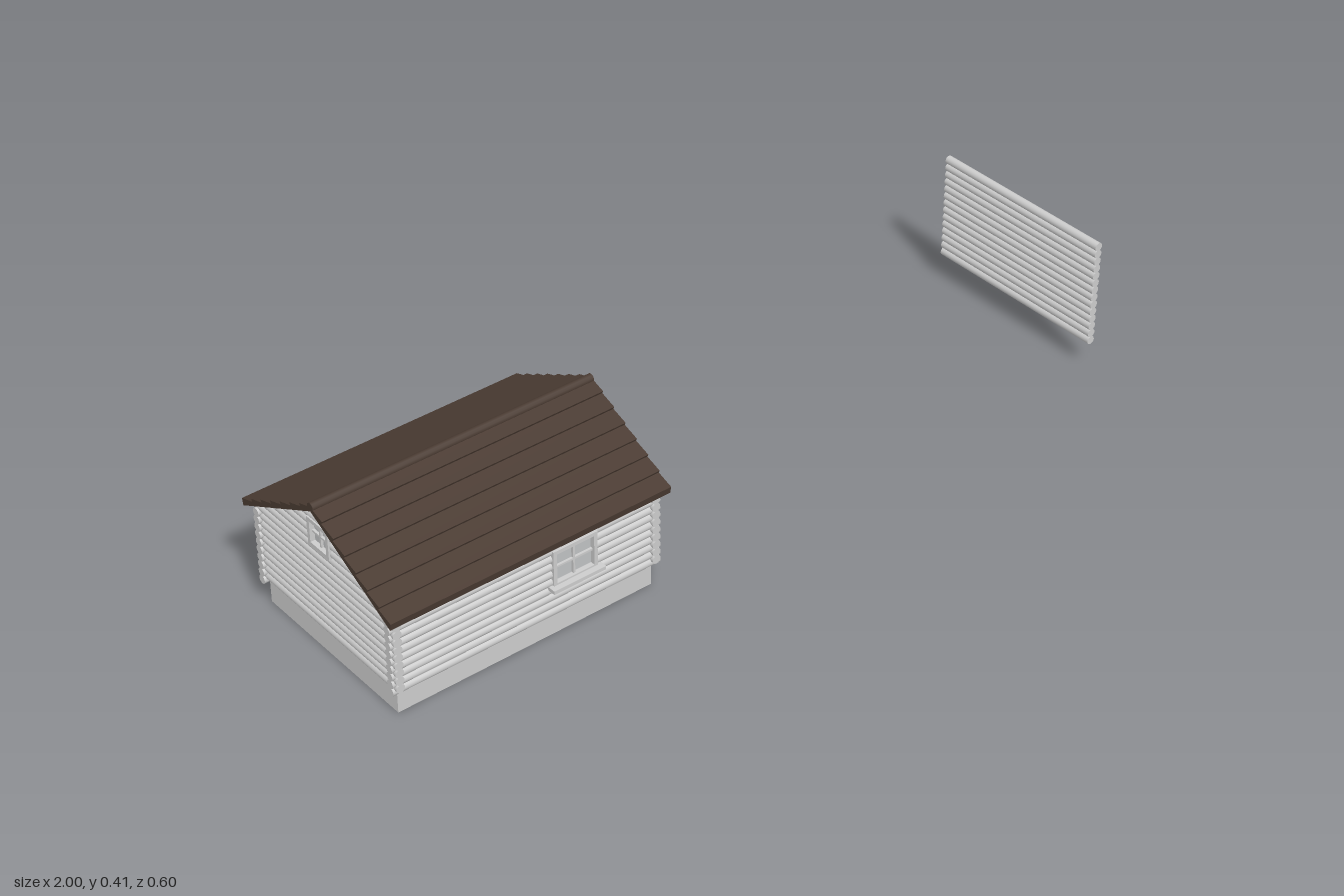
import * as THREE from 'three';

const mat = (name, color) => Object.assign(new THREE.MeshStandardMaterial({ color }), { name });

const PITCH = 0.0198, R = 0.0105;          // log spacing and radius
const CX = -0.643, CZ = 0.03;              // centre of the cabin
const HALF_X = 0.3315, HALF_Z = 0.235;     // wall centre lines
const SLOPE = 0.53, APEX = 0.39;           // underside of the roof

export function createModel() {
  const model = new THREE.Group();
  model.name = 'logCabin';
  const timber = mat('timberGrey', 0xcccccc);
  const roofMat = mat('roofBrown', 0x4a3b32);
  const doorMat = mat('doorBrown', 0x4e2e1e);
  const glass = mat('paneGrey', 0xbfc1c3);

  const add = (parent, name, geo, material, x = 0, y = 0, z = 0) => {
    const m = new THREE.Mesh(geo, material);
    m.name = name;
    m.position.set(x, y, z);
    parent.add(m);
    return m;
  };
  const box = (parent, name, material, w, h, d, x, y, z) =>
    add(parent, name, new THREE.BoxGeometry(w, h, d), material, x, y, z);
  const group = (name) => {
    const g = new THREE.Group();
    g.name = name;
    model.add(g);
    return g;
  };

  // One log along its axis from a to b, interrupted by openings {a, b, y0, y1}
  const log = (parent, axis, a, b, y, fixed, openings = []) => {
    let spans = [[a, b]];
    for (const o of openings) {
      if (y < o.y0 || y > o.y1) continue;
      spans = spans.flatMap(([s, e]) => (o.a > s && o.b < e ? [[s, o.a], [o.b, e]] : [[s, e]]));
    }
    for (const [s, e] of spans) {
      const geo = new THREE.CylinderGeometry(R, R, e - s, 16);
      if (axis === 'x') geo.rotateZ(Math.PI / 2); else geo.rotateX(Math.PI / 2);
      const mid = (s + e) / 2;
      add(parent, 'log', geo, timber, axis === 'x' ? mid : fixed, y, axis === 'x' ? fixed : mid);
    }
  };

  // Foundation ring and floor
  const rect = (P, w, d) => {
    const p = new P();
    p.moveTo(-w, -d).lineTo(w, -d).lineTo(w, d).lineTo(-w, d).closePath();
    return p;
  };
  const ring = rect(THREE.Shape, 0.33, 0.2325);
  ring.holes.push(rect(THREE.Path, 0.31, 0.2125));
  const ringGeo = new THREE.ExtrudeGeometry(ring, { depth: 0.062, bevelEnabled: false });
  ringGeo.rotateX(-Math.PI / 2);
  add(model, 'foundation', ringGeo, timber, CX, 0, CZ);
  box(model, 'floor', timber, 0.65, 0.01, 0.455, CX, 0.064, CZ);

  // Long walls
  const frontWindow = { a: -0.578, b: -0.472, y0: 0.14, y1: 0.222 };
  const backWindow = { a: -0.863, b: -0.757, y0: 0.14, y1: 0.222 };
  const doorway = { a: -0.473, b: -0.393, y0: 0.07, y1: 0.232 };
  const front = group('frontWall'), back = group('backWall');
  for (let i = 0; i < 10; i++) {
    const y = 0.066 + PITCH * i;
    log(front, 'x', -0.99, -0.297, y, CZ + HALF_Z, [frontWindow]);
    log(back, 'x', -0.99, -0.297, y, CZ - HALF_Z, [backWindow, doorway]);
  }

  // Gable walls, trimmed to the roof slope; one has an attic window
  const attic = { a: CZ - 0.033, b: CZ + 0.033, y0: 0.286, y1: 0.346 };
  for (const s of [-1, 1]) {
    const g = group(s < 0 ? 'rightGable' : 'leftGable');
    for (let y = 0.0755; y < APEX - 0.008; y += PITCH) {
      const half = Math.min(0.25, (APEX - y) / SLOPE);
      log(g, 'z', CZ - half, CZ + half, y, CX + s * HALF_X, s < 0 ? [attic] : []);
    }
  }

  // Detached wall panel standing apart from the cabin
  const panel = group('detachedWall');
  for (let i = 0; i < 14; i++) log(panel, 'z', CZ - 0.25, CZ + 0.25, 0.0755 + PITCH * i, 0.9895);

  // Roof: one cross-section with overlapping planks, swept along the ridge
  const planks = 7, run = 0.265, side = [];
  for (let i = 0; i < planks; i++) {
    const top = (t, lift) => [t * run, APEX - SLOPE * t * run + lift];
    side.push(top(i / planks, 0.011), top((i + 1) / planks + 0.012, 0.019));
  }
  const pts = [[-run, APEX - SLOPE * run], ...side.slice().reverse().map(([x, y]) => [-x, y]),
    ...side.slice(1), [run, APEX - SLOPE * run], [0, APEX]];
  const roofShape = new THREE.Shape(pts.map(([x, y]) => new THREE.Vector2(x, y)));
  const roofGeo = new THREE.ExtrudeGeometry(roofShape, { depth: 0.714, bevelEnabled: false });
  roofGeo.rotateY(Math.PI / 2);
  add(model, 'roof', roofGeo, roofMat, -1, 0, CZ);
  const ridge = new THREE.CylinderGeometry(0.0105, 0.0105, 0.714, 12);
  ridge.rotateZ(Math.PI / 2);
  add(model, 'ridgePole', ridge, roofMat, -0.643, 0.4, CZ);

  // Framed window facing +z, centred on its own origin
  const windowAt = (name, w, h, sill) => {
    const g = group(name), t = 0.009, d = 0.022;
    box(g, 'pane', glass, w, h, 0.004, 0, 0, 0);
    for (const s of [-1, 1]) {
      box(g, 'frameSide', timber, t, h + t, d, s * w / 2, 0, 0.003);
      box(g, 'frameRail', timber, w + t, t, d, 0, s * h / 2, 0.003);
    }
    box(g, 'mullion', timber, 0.005, h, 0.01, 0, 0, 0.003);
    box(g, 'crossbar', timber, w, 0.005, 0.01, 0, 0, 0.003);
    if (sill) box(g, 'sill', timber, w + 0.03, 0.009, 0.032, 0, -h / 2 - 0.004, 0.012);
    return g;
  };
  windowAt('frontWindow', 0.106, 0.084, true).position.set(-0.525, 0.181, CZ + HALF_Z);
  const rear = windowAt('backWindow', 0.106, 0.084, true);
  rear.position.set(-0.81, 0.181, CZ - HALF_Z);
  rear.rotation.y = Math.PI;
  const loft = windowAt('atticWindow', 0.066, 0.062, false);
  loft.position.set(CX - HALF_X, 0.316, CZ);
  loft.rotation.y = -Math.PI / 2;

  // Door in the back wall
  const door = group('door');
  door.position.set(-0.433, 0.152, CZ - HALF_Z);
  door.rotation.y = Math.PI;
  box(door, 'doorLeaf', doorMat, 0.076, 0.16, 0.01, 0, 0, 0.001);
  for (const s of [-1, 1]) {
    box(door, 'doorPost', timber, 0.009, 0.169, 0.024, s * 0.041, 0, 0.002);
    box(door, 'doorRail', timber, 0.091, 0.009, 0.024, 0, s * 0.08, 0.002);
    box(door, 'doorPanel', doorMat, 0.046, 0.055, 0.004, 0, s * 0.036, 0.007);
  }
  box(door, 'doorHandle', timber, 0.006, 0.004, 0.008, 0.03, 0, 0.008);

  // Wall lamp beside the door
  const lamp = group('wallLamp');
  lamp.position.set(-0.513, 0, -0.225);
  box(lamp, 'lampArm', timber, 0.004, 0.003, 0.014, 0, 0.209, 0.003);
  box(lamp, 'lampRod', timber, 0.002, 0.026, 0.002, 0, 0.197, -0.002);
  add(lamp, 'lampShade', new THREE.CylinderGeometry(0.002, 0.006, 0.022, 10), timber, 0, 0.176, 0);

  // Back steps: two sloping stringers with half-log treads
  const steps = group('backSteps');
  const stringer = new THREE.Shape([[0.2, 0.068], [0.295, 0.006], [0.295, 0.036], [0.222, 0.078], [0.2, 0.078]]
    .map(([x, y]) => new THREE.Vector2(x, y)));
  for (const s of [-1, 1]) {
    const geo = new THREE.ExtrudeGeometry(stringer, { depth: 0.01, bevelEnabled: false });
    geo.rotateY(Math.PI / 2);
    add(steps, 'stringer', geo, timber, -0.438 + s * 0.042);
  }
  const half = new THREE.Shape();
  half.absarc(0, 0, 0.0115, Math.PI, Math.PI * 2, false);
  half.closePath();
  for (let i = 0; i < 4; i++) {
    const geo = new THREE.ExtrudeGeometry(half, { depth: 0.122, bevelEnabled: false, curveSegments: 8 });
    geo.rotateY(Math.PI / 2);
    add(steps, 'tread', geo, timber, -0.494, 0.081 - i * 0.0135, -0.226 - i * 0.0203);
  }

  return model;
}
